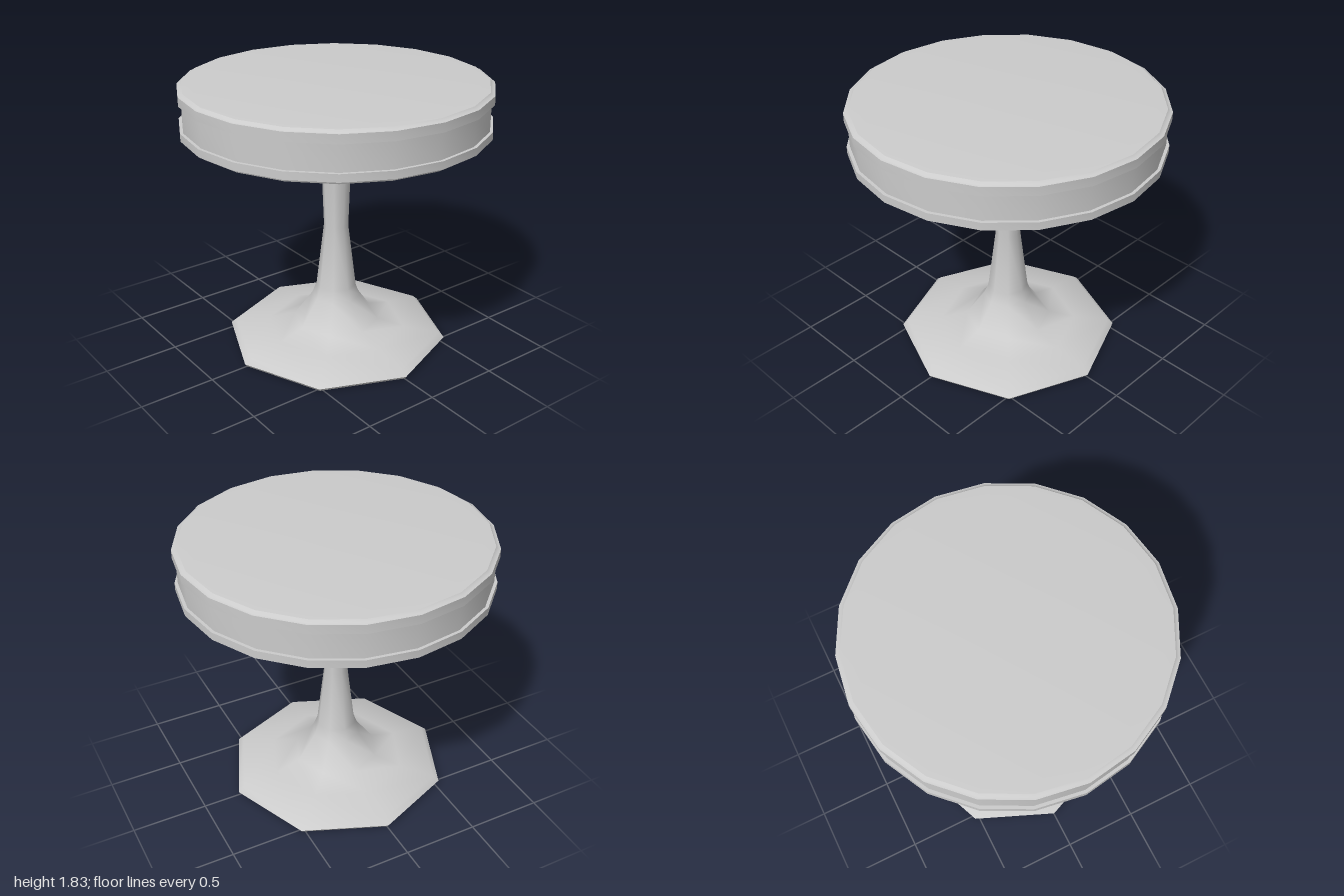
import * as THREE from 'three';
import { toCreasedNormals } from 'three/addons/utils/BufferGeometryUtils.js';

const material = new THREE.MeshStandardMaterial({ color: 0xcccccc });

// Faceted turned part: profile of [radius, height] from the lower axis to the upper end
function turned(name, profile, sides, crease) {
  const points = profile.map(([r, y]) => new THREE.Vector2(r, y));
  const geometry = toCreasedNormals(
    new THREE.LatheGeometry(points, sides), THREE.MathUtils.degToRad(crease));
  const mesh = new THREE.Mesh(geometry, material);
  mesh.name = name;
  return mesh;
}

export function createModel() {
  const table = new THREE.Group();
  table.name = 'pedestalTable';

  // Octagonal trumpet foot, waisted stem and small flange under the top
  table.add(turned('pedestal', [
    [0, 0], [0.735, 0], [0.75, 0.02], [0.71, 0.055], [0.47, 0.085],
    [0.29, 0.135], [0.165, 0.31], [0.135, 0.39], [0.082, 0.83],
    [0.095, 1.2], [0.095, 1.54], [0.16, 1.585], [0.16, 1.6],
  ], 8, 46));

  // Twenty-sided drum: recessed underside, two raised bands, softened top edge
  table.add(turned('tableTop', [
    [0, 1.59], [0.94, 1.59], [0.94, 1.51], [0.97, 1.505], [0.98, 1.525],
    [1, 1.525], [1, 1.575], [0.98, 1.575],
    [0.98, 1.745], [1, 1.745], [1, 1.803], [0.985, 1.806],
    [0.97, 1.82], [0.9, 1.825], [0, 1.827],
  ], 20, 35));

  return table;
}
